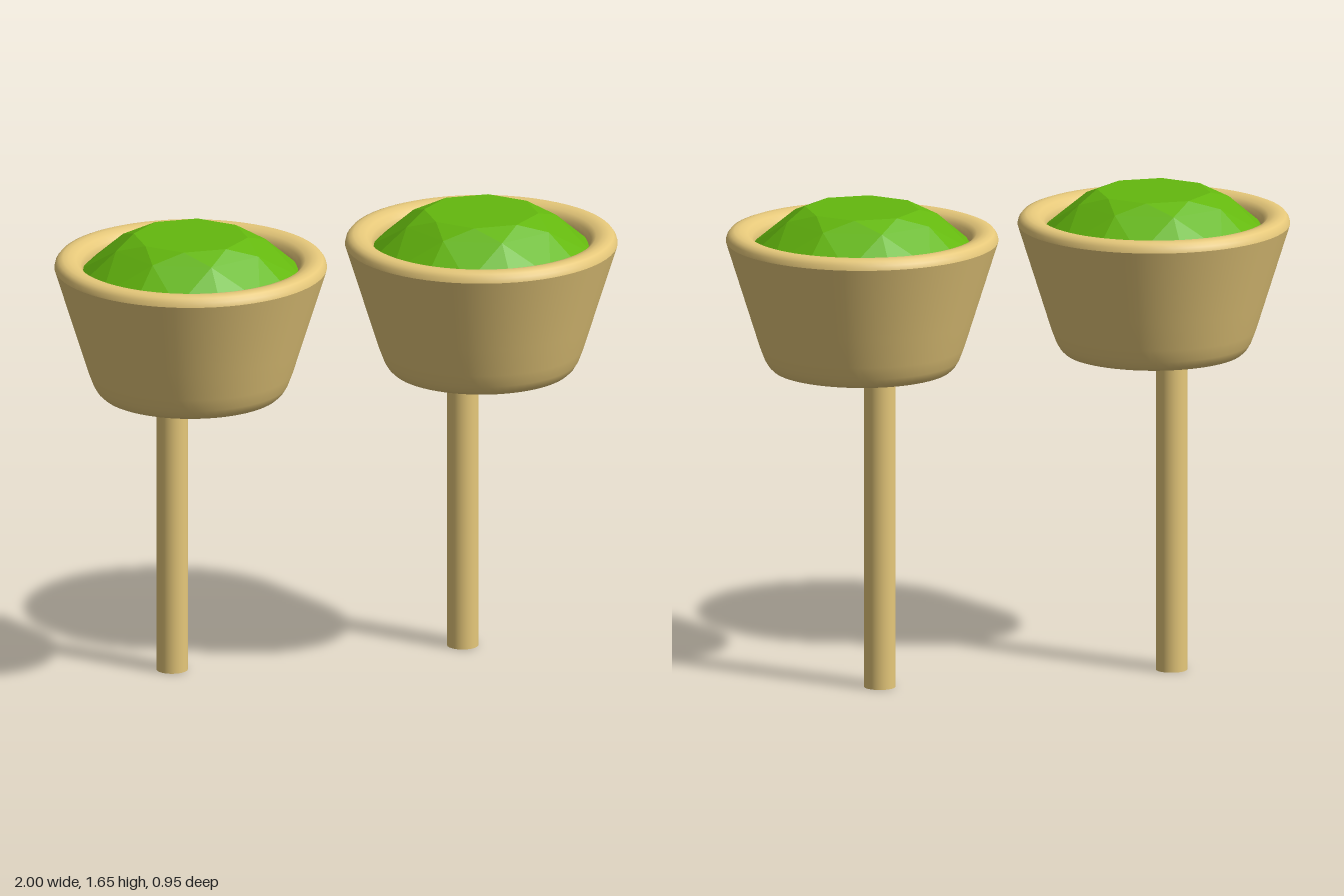
import * as THREE from 'three';
import { mergeGeometries } from 'three/addons/utils/BufferGeometryUtils.js';
import { ConvexGeometry } from 'three/addons/geometries/ConvexGeometry.js';

const gold = new THREE.MeshStandardMaterial({ color: 0xe6c87a });
const green = new THREE.MeshStandardMaterial({ color: 0x64b80e, flatShading: true });

// Lathe each strip on its own so the edges between strips stay crisp
function cupGeometry() {
  const strips = [
    [[0.19, 1.08], [0.295, 1.08]],                                            // underside
    [[0.295, 1.08], [0.312, 1.084], [0.326, 1.097], [0.34, 1.12],
      [0.357, 1.165], [0.39, 1.27], [0.475, 1.54]],                           // outer wall
    [[0.475, 1.54], [0.471, 1.556], [0.461, 1.569], [0.445, 1.575], [0.425, 1.575],
      [0.4, 1.568], [0.383, 1.552], [0.375, 1.53], [0.375, 1.495]],           // rounded rim
    [[0.375, 1.495], [0.19, 1.36]],                                           // seat under the stone
    [[0.19, 1.36], [0.19, 1.08]],                                             // hole through the base
  ];
  return mergeGeometries(strips.map((s) =>
    new THREE.LatheGeometry(s.map(([r, y]) => new THREE.Vector2(r, y)), 64)));
}

// Brilliant cut: octagonal table, star points, 16-sided girdle and a pointed base
function gemGeometry() {
  const points = [new THREE.Vector3(0, 1.25, 0)];
  const ring = (count, radius, y, turn) => {
    for (let i = 0; i < count; i++) {
      const a = turn + (i / count) * Math.PI * 2;
      points.push(new THREE.Vector3(radius * Math.cos(a), y, radius * Math.sin(a)));
    }
  };
  ring(8, 0.2, 1.655, Math.PI / 8);
  ring(8, 0.27, 1.62, 0);
  ring(16, 0.392, 1.515, 0);
  ring(16, 0.392, 1.505, 0);
  return new ConvexGeometry(points);
}

export function createModel() {
  const model = new THREE.Group();
  model.name = 'studEarrings';
  const cupGeo = cupGeometry();
  const gemGeo = gemGeometry();
  const postGeo = new THREE.CylinderGeometry(0.055, 0.055, 1.1, 32);

  for (const side of [1, -1]) {
    const earring = new THREE.Group();
    earring.name = side > 0 ? 'leftEarring' : 'rightEarring';
    earring.position.x = side * 0.525;

    const cup = new THREE.Mesh(cupGeo, gold);
    cup.name = 'cup';
    const gem = new THREE.Mesh(gemGeo, green);
    gem.name = 'gem';
    // Post fixed to the rear of the cup's underside
    const post = new THREE.Mesh(postGeo, gold);
    post.name = 'post';
    post.position.set(0, 0.55, -0.242);

    earring.add(cup, gem, post);
    model.add(earring);
  }
  return model;
}
